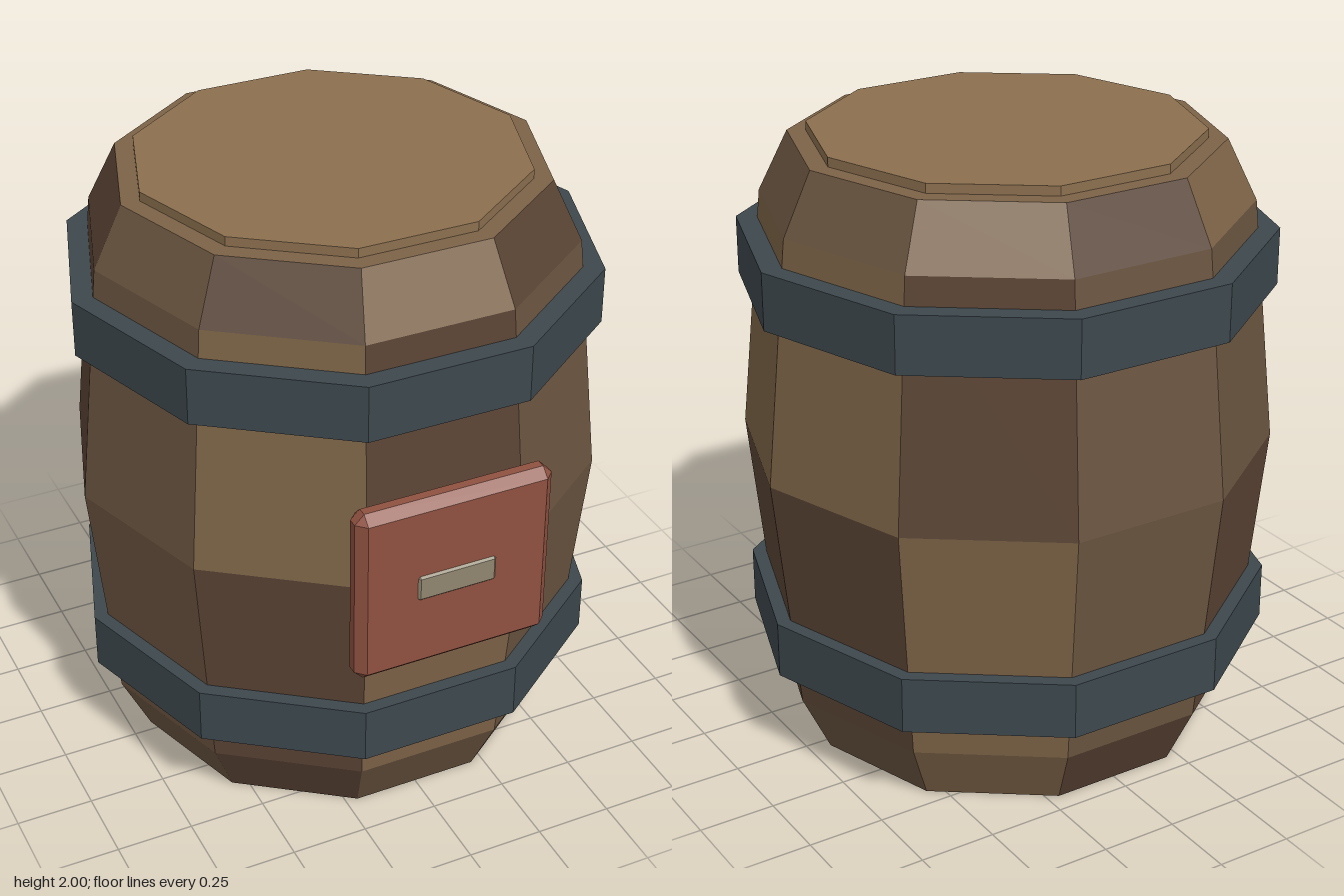
import * as THREE from 'three';
import { ConvexGeometry } from 'three/addons/geometries/ConvexGeometry.js';

const SIDES = 10;
const AXIS_Z = -0.036; // the barrel sits slightly behind the centre because of the hatch

const paint = (color) => new THREE.MeshStandardMaterial({ color, flatShading: true });

function add(parent, name, geometry, material, x = 0, y = 0, z = 0) {
  const mesh = new THREE.Mesh(geometry, material);
  mesh.name = name;
  mesh.position.set(x, y, z);
  parent.add(mesh);
  return mesh;
}

// Ten-sided drum with a flat side facing the front
function drum(radius, height) {
  return new THREE.CylinderGeometry(radius, radius, height, SIDES).rotateY(Math.PI / SIDES);
}

// Box with every edge and corner cut by c
function chamferedBox(w, h, d, c) {
  const points = [];
  for (const sx of [-1, 1]) for (const sy of [-1, 1]) for (const sz of [-1, 1]) {
    for (let axis = 0; axis < 3; axis++) {
      const p = [w / 2 - c, h / 2 - c, d / 2 - c];
      p[axis] += c;
      points.push(new THREE.Vector3(p[0] * sx, p[1] * sy, p[2] * sz));
    }
  }
  return new ConvexGeometry(points);
}

// Staves: one quad per side and tier, sorted by wood tone
function staveGeometries(profile, tones) {
  const buckets = [[], [], []];
  const at = ([r, y], k) => {
    const a = (k / SIDES) * Math.PI * 2;
    return [r * Math.cos(a), y, r * Math.sin(a)];
  };
  for (let tier = 0; tier < profile.length - 1; tier++) {
    for (let k = 0; k < SIDES; k++) {
      const a = at(profile[tier], k), b = at(profile[tier], k + 1);
      const c = at(profile[tier + 1], k + 1), d = at(profile[tier + 1], k);
      buckets[Number(tones[tier][k])].push(...a, ...d, ...c, ...a, ...c, ...b);
    }
  }
  return buckets.map((positions) => {
    const g = new THREE.BufferGeometry();
    g.setAttribute('position', new THREE.Float32BufferAttribute(positions, 3));
    g.computeVertexNormals();
    return g;
  });
}

export function createModel() {
  const model = new THREE.Group();
  model.name = 'barrel';

  const wood = [paint(0x5a4434), paint(0x6b5540), paint(0x7d6347)]; // dark, medium, light
  const lidWood = paint(0x8b6f4e);
  const iron = paint(0x3c474d);
  const red = paint(0x8f5140);
  const metal = paint(0x8f866f);

  const body = new THREE.Group();
  body.name = 'body';
  body.position.z = AXIS_Z;
  model.add(body);

  // Bulging wall; tone of each side, starting at the right and going round by the front
  const profile = [[0.68, 0], [0.775, 0.2], [0.855, 0.985], [0.775, 1.775], [0.68, 1.97]];
  const tones = ['1010111021', '0120110120', '2102101102', '1020102021'];
  staveGeometries(profile, tones).forEach((g, i) => {
    add(body, ['darkStaves', 'mediumStaves', 'lightStaves'][i], g, wood[i]);
  });

  // Base, top rim and raised lid
  const disc = () => new THREE.CircleGeometry(0.68, SIDES);
  add(body, 'base', disc().rotateX(Math.PI / 2), wood[1]);
  add(body, 'topRim', disc().rotateX(-Math.PI / 2), wood[2], 0, 1.97);
  add(body, 'lid', drum(0.62, 0.04), lidWood, 0, 1.98);

  // Iron hoops
  add(body, 'lowerHoop', drum(0.852, 0.185), iron, 0, 0.412);
  add(body, 'upperHoop', drum(0.852, 0.185), iron, 0, 1.593);

  // Front hatch with its handle
  const hatch = new THREE.Group();
  hatch.name = 'hatch';
  hatch.position.set(0, 0.988, 0.8);
  model.add(hatch);
  add(hatch, 'hatchPanel', chamferedBox(0.65, 0.6, 0.09, 0.03), red);
  add(hatch, 'hatchHandle', chamferedBox(0.26, 0.086, 0.04, 0.007), metal, 0, 0, 0.032);

  return model;
}
